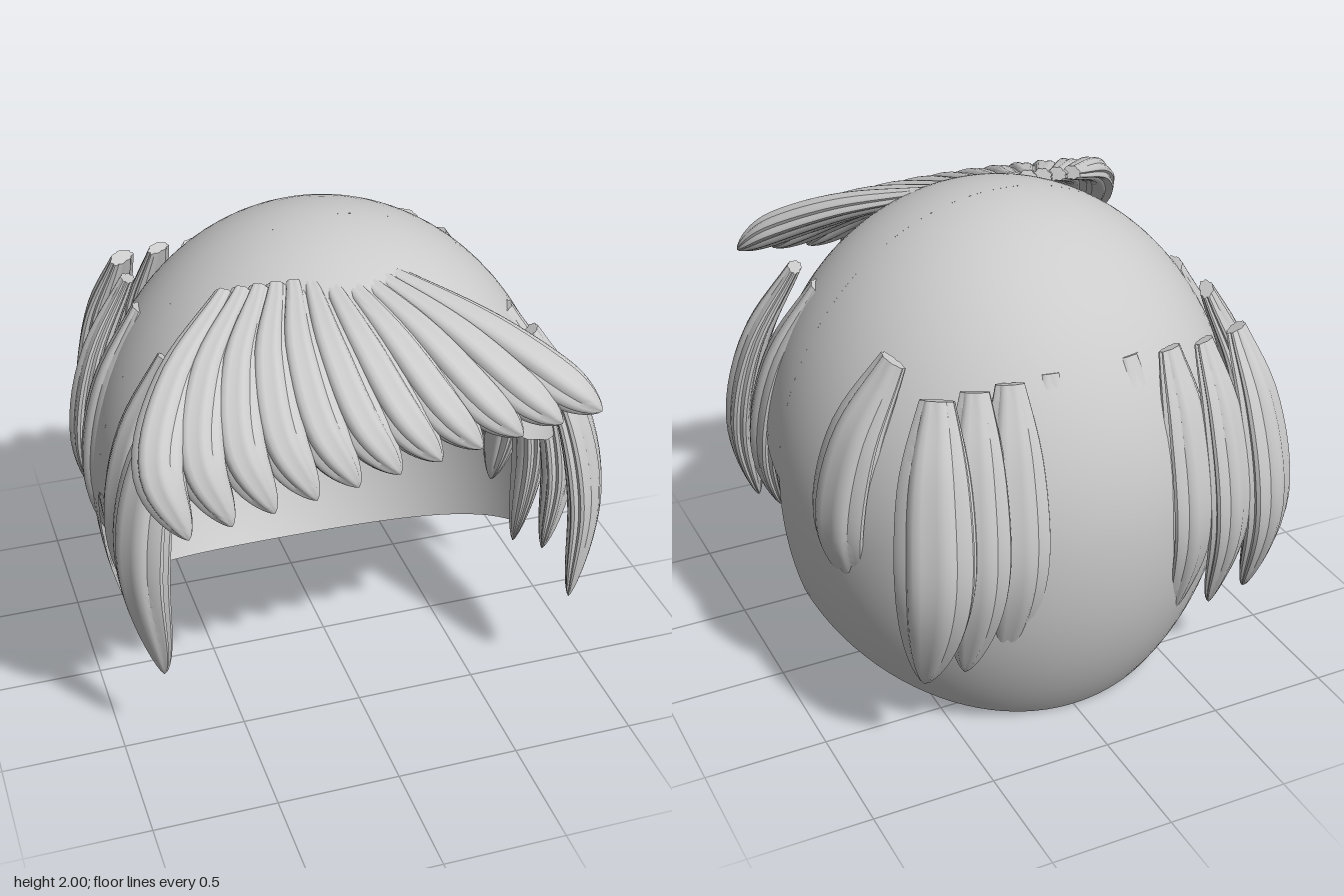
import * as THREE from 'three';
import { toCreasedNormals } from 'three/addons/utils/BufferGeometryUtils.js';

const material = new THREE.MeshStandardMaterial({ color: 0xcccccc, side: THREE.DoubleSide });
const V = (x, y, z) => new THREE.Vector3(x, y, z);

// Indexed surface from rows of points
function loft(rows) {
  const n = rows[0].length, pos = [], idx = [];
  rows.forEach(r => r.forEach(p => pos.push(p.x, p.y, p.z)));
  for (let i = 0; i < rows.length - 1; i++) {
    for (let j = 0; j < n - 1; j++) {
      const a = i * n + j, b = a + 1, c = a + n, d = c + 1;
      idx.push(a, b, c, b, d, c);
    }
  }
  const geo = new THREE.BufferGeometry();
  geo.setAttribute('position', new THREE.Float32BufferAttribute(pos, 3));
  geo.setIndex(idx);
  geo.computeVertexNormals();
  return geo;
}

// Egg-shaped skull: radius factor at height y, with a longer lower half
const MID = 0.9;
const halfHeight = y => (y > MID ? 1.1 : 1.29);
const skullRadius = y => Math.sqrt(Math.max(0, 1 - ((y - MID) / halfHeight(y)) ** 2));
const skullPoint = (phi, y) => V(0.96 * Math.sin(phi) * skullRadius(y), y,
  (Math.cos(phi) > 0 ? 0.965 : 0.985) * Math.cos(phi) * skullRadius(y));

// Height of the hairline and of the nape edge for a given depth
const HAIRLINE = [[0, 0.94], [0.18, 0.99], [0.55, 1.17], [0.67, 1.27], [0.765, 1.44], [0.8, 1.52], [1, 1.95]];
function frontCut(z) {
  let i = 0;
  while (i < HAIRLINE.length - 2 && z > HAIRLINE[i + 1][0]) i++;
  const [z0, y0] = HAIRLINE[i], [z1, y1] = HAIRLINE[i + 1];
  return y0 + (y1 - y0) * (z - z0) / (z1 - z0);
}
const napeCut = z => 0.39 + 0.41 * z - 0.19 * z * z;

function edgeHeight(phi, cut) {
  let lo = -0.3, hi = 1.9;
  for (let i = 0; i < 40; i++) {
    const y = (lo + hi) / 2;
    if (y > cut(skullPoint(phi, y).z)) hi = y; else lo = y;
  }
  return lo;
}

// One sector of the cap, from the crown down to its cut edge
function makeCapPart(name, from, to, cut) {
  const N = 48, RINGS = 36, columns = [];
  for (let i = N; i >= 0; i--) {
    const phi = from + (to - from) * i / N, edge = edgeHeight(phi, cut), row = [];
    const angle = Math.acos((edge - MID) / halfHeight(edge));
    for (let j = 0; j <= RINGS; j++) {
      const c = Math.cos(angle * j / RINGS);
      row.push(skullPoint(phi, MID + c * (c > 0 ? 1.1 : 1.29)));
    }
    columns.push(row);
  }
  const geo = loft(columns);
  // Exact ellipsoid normals keep the sectors seamless
  const p = geo.attributes.position, nor = geo.attributes.normal;
  for (let i = 0; i < p.count; i++) {
    const h = halfHeight(p.getY(i));
    const v = V(p.getX(i) / 0.92, (p.getY(i) - MID) / (h * h), p.getZ(i) / 0.95).normalize();
    nor.setXYZ(i, v.x, v.y, v.z);
  }
  // Wind every face outward
  const id = geo.index.array, a = V(), b = V(), c = V();
  for (let i = 0; i < id.length; i += 3) {
    a.fromBufferAttribute(p, id[i]);
    b.fromBufferAttribute(p, id[i + 1]);
    c.fromBufferAttribute(p, id[i + 2]);
    const out = a.clone().add(b).add(c).divideScalar(3).sub(V(0, MID, 0));
    if (b.sub(a).cross(c.sub(a)).dot(out) < 0) [id[i + 1], id[i + 2]] = [id[i + 2], id[i + 1]];
  }
  const mesh = new THREE.Mesh(geo, material);
  mesh.name = name;
  return mesh;
}

// Leaf profile: narrow root, widest past the middle, rounded point
function leaf(t) {
  const peak = 0.58;
  if (t < peak) return 0.42 + 0.58 * Math.sin(Math.PI / 2 * t / peak);
  return Math.max(0.01, Math.pow(1 - ((t - peak) / (1 - peak)) ** 2, 0.7));
}

// Leaf-shaped lock with a lobed section, swept along a curve
function makeLock(name, points, outward, width, depth) {
  const curve = new THREE.CatmullRomCurve3(points), rows = [], STEPS = 22, SIDES = 32;
  for (let i = 0; i <= STEPS; i++) {
    const t = 1 - (1 - i / STEPS) ** 1.4, p = curve.getPoint(t), tan = curve.getTangent(t);
    const side = V().crossVectors(outward, tan).normalize();
    const up = V().crossVectors(tan, side).normalize();
    const s = leaf(t), row = [];
    for (let j = 0; j <= SIDES; j++) {
      const a = j / SIDES * Math.PI * 2;
      const r = 0.84 + 0.16 * Math.abs(Math.sin(4 * a));
      const x = Math.cos(a) * r, y = Math.sin(a) * r;
      row.push(p.clone().addScaledVector(side, x * s * width / 2)
        .addScaledVector(up, (y - 0.25 * x * x + 0.1) * s * depth / 2));
    }
    rows.push(row);
  }
  // Close the root
  const centre = rows[0].reduce((sum, q) => sum.add(q), V()).divideScalar(SIDES + 1);
  rows.unshift(rows[0].map(() => centre.clone()));
  const mesh = new THREE.Mesh(toCreasedNormals(loft(rows), 0.7), material);
  mesh.name = name;
  return mesh;
}

function makeGroup(name, parent) {
  const group = new THREE.Group();
  group.name = name;
  parent.add(group);
  return group;
}

export function createModel() {
  const model = new THREE.Group();
  model.name = 'hair';

  const cap = makeGroup('cap', model), Q = Math.PI / 2;
  cap.add(makeCapPart('capFront', -Q + 0.06, Q, frontCut));
  cap.add(makeCapPart('capBack', Q, 3 * Q + 0.06, napeCut));

  // Fringe: locks fanning from a short parting across the forehead
  const fringe = makeGroup('fringe', model);
  const first = [V(-0.47, 1.88, 0.29), V(-0.75, 1.72, 0.62), V(-0.87, 1.52, 0.86), V(-0.8, 1.31, 0.98)];
  const last = [V(0.17, 1.88, 0.34), V(0.42, 1.76, 0.62), V(0.64, 1.62, 0.84), V(0.78, 1.52, 0.93)];
  for (let i = 0; i <= 10; i++) {
    const k = i / 10;
    const path = first.map((p, j) => p.clone().lerp(last[j], k));
    path[0].y += 0.04 * k * (1 - k);
    path[1].y += 0.1 * k * (1 - k);
    const out = V(-0.45 + 0.6 * k, 0.65, 0.6).normalize();
    fringe.add(makeLock('fringeLock', path, out, 0.2, 0.14));
  }

  // Side rows: root depth, tip depth, tip height and sideways shift of each lock
  const sideRows = [
    ['leftSideLocks', 1, [[0.45, 0.67, 0.47, 0], [0.24, 0.43, 0.55, -0.02],
      [0.07, 0.2, 0.44, -0.05], [-0.2, -0.05, 0.6, -0.06], [-0.47, -0.37, 0.62, -0.04]]],
    ['rightSideLocks', -1, [[0.47, 0.6, 0.42, 0], [0.25, 0.36, 0.5, 0],
      [0.03, 0.11, 0.5, -0.02], [-0.18, -0.13, 0.55, 0.01], [-0.44, -0.42, 0.55, 0]]],
  ];
  for (const [name, s, locks] of sideRows) {
    const group = makeGroup(name, model);
    for (const [z0, z1, y1, dx] of locks) {
      const zm = z0 * 0.3 + z1 * 0.7;
      const path = [V(s * (0.69 + dx), 1.62, z0), V(s * (0.84 + dx), 1.3, z0 * 0.6 + z1 * 0.4),
        V(s * (0.9 + dx), 0.92, zm), V(s * (0.84 + dx), y1, z1)];
      group.add(makeLock('sideLock', path, V(s * 0.9, 0, zm * 0.9).normalize(), 0.29, 0.14));
    }
  }

  // Back row: a straight line of locks, the middle ones running inside the cap
  const back = makeGroup('backLocks', model);
  for (const x of [-0.76, -0.57, -0.4, -0.2, -0.02, 0.17, 0.36, 0.52, 0.69]) {
    const outer = Math.abs(x) > 0.6, z = Math.abs(x) < 0.3 ? 0.015 : x < -0.6 ? 0.04 : 0;
    const path = [V(x * 0.87, 1.58, -0.75 + z), V(x * 0.95, 1.3, -0.84 + z),
      V(x, 0.88, -0.9 + z), V(x, 0.39, -0.79 + z)];
    back.add(makeLock('backLock', path, V(x, 0, -0.9).normalize(), outer ? 0.32 : 0.27, outer ? 0.16 : 0.13));
  }
  return model;
}
